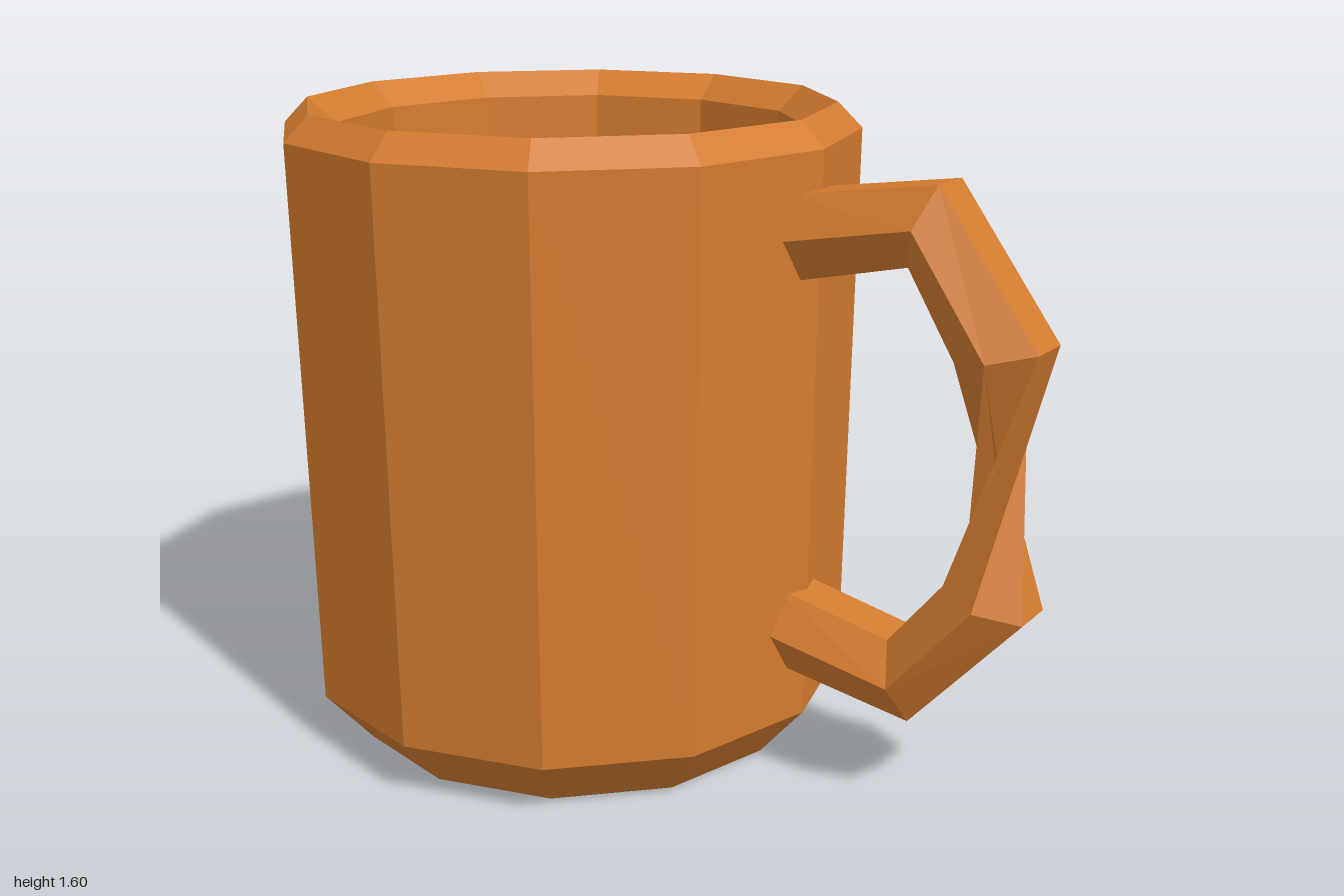
import * as THREE from 'three';

const material = new THREE.MeshStandardMaterial({ color: 0xd47c30, flatShading: true });

function facetedMesh(geometry, name) {
  const flat = geometry.index ? geometry.toNonIndexed() : geometry;
  flat.computeVertexNormals();
  const mesh = new THREE.Mesh(flat, material);
  mesh.name = name;
  return mesh;
}

// Twelve-sided cup: bevelled foot, slightly flared wall, ridged rim, hollow inside
function createCup() {
  const profile = [
    [0, 0], [0.575, 0], [0.695, 0.14], [0.715, 1.54],
    [0.655, 1.602], [0.585, 1.54], [0.56, 0.14], [0, 0.14],
  ].map(([r, y]) => new THREE.Vector2(r, y));
  const cup = facetedMesh(new THREE.LatheGeometry(profile, 12), 'cup');
  cup.position.x = -0.285;
  return cup;
}

// Hexagonal handle swept through stations, with a two-corner twist in the grip
function createHandle() {
  // Each station: outer x, y, then inner x, y
  const stations = [
    [0.36, 1.44, 0.36, 1.236],
    [0.745, 1.498, 0.68, 1.31],
    [0.997, 1.157, 0.8, 1.113],
    [0.997, 0.535, 0.8, 0.588],
    [0.725, 0.228, 0.665, 0.42],
    [0.36, 0.285, 0.36, 0.483],
  ];
  // Hexagon corners: position from inner (0) to outer (1), and z
  const corners = [
    [0.5, -0.117], [1, -0.058], [1, 0.058], [0.5, 0.117], [0, 0.058], [0, -0.058],
  ];
  const positions = [];
  for (const [ox, oy, ix, iy] of stations) {
    for (const [t, z] of corners) {
      positions.push(ix + (ox - ix) * t, iy + (oy - iy) * t, z);
    }
  }
  const index = [];
  for (let s = 0; s < stations.length - 1; s++) {
    const twist = s === 2 ? 2 : 0;
    for (let k = 0; k < 6; k++) {
      const a = s * 6 + k;
      const b = s * 6 + (k + 1) % 6;
      const c = (s + 1) * 6 + (k + 1 + twist) % 6;
      const d = (s + 1) * 6 + (k + twist) % 6;
      index.push(a, b, c, a, c, d);
    }
  }
  const geometry = new THREE.BufferGeometry();
  geometry.setAttribute('position', new THREE.Float32BufferAttribute(positions, 3));
  geometry.setIndex(index);
  return facetedMesh(geometry, 'handle');
}

export function createModel() {
  const mug = new THREE.Group();
  mug.name = 'mug';
  mug.add(createCup(), createHandle());
  return mug;
}
